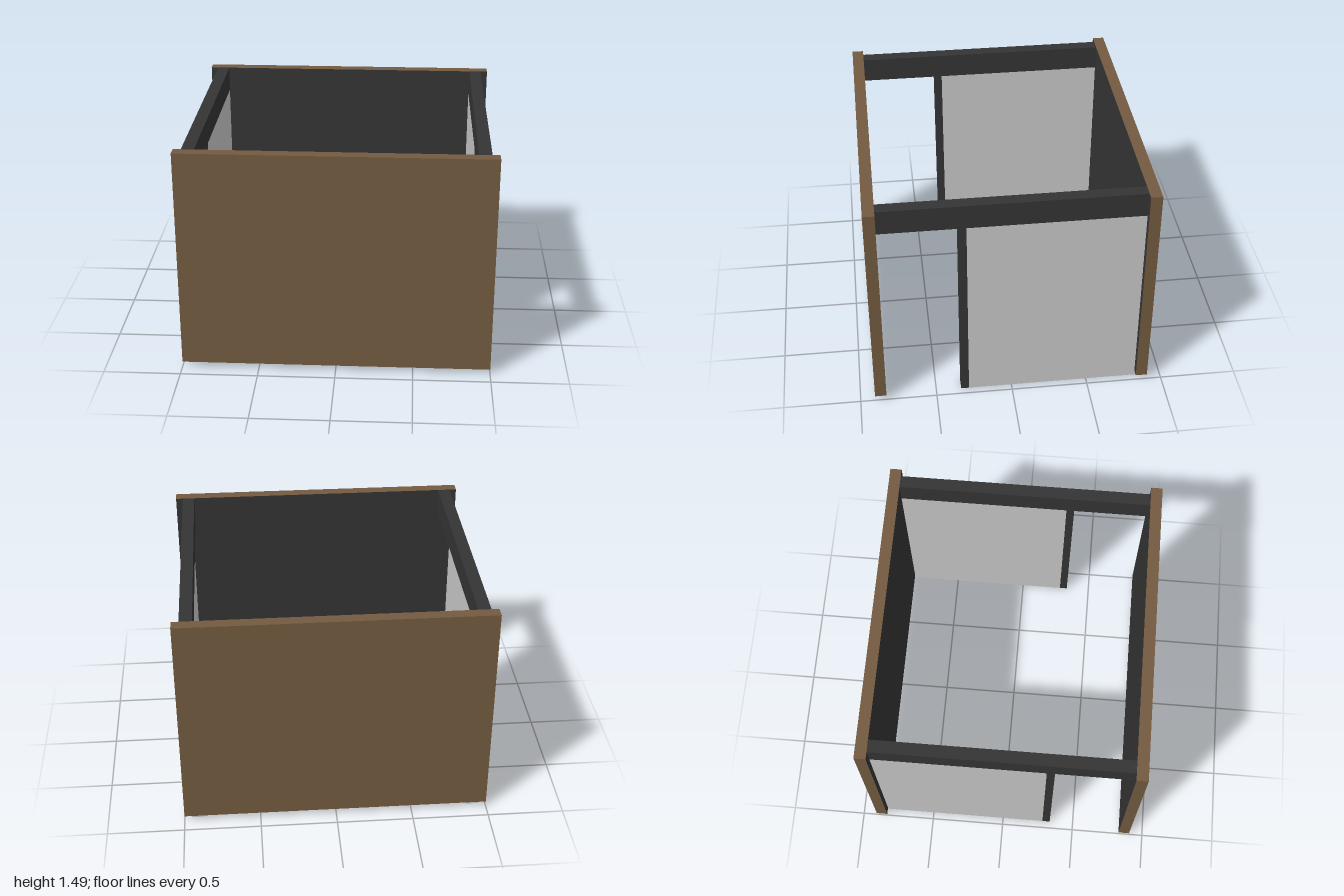
import * as THREE from 'three';

const mat = (name, color) => {
  const m = new THREE.MeshStandardMaterial({ color });
  m.name = name;
  return m;
};

export function createModel() {
  const wood = mat('wood brown', 0x735b40);
  const dark = mat('charcoal', 0x343434);
  const light = mat('light grey', 0xc8c8c8);
  const group = new THREE.Group();

  // Box given by its minimum and maximum on each axis
  function box(name, material, [x0, x1], [y0, y1], [z0, z1]) {
    const geometry = new THREE.BoxGeometry(x1 - x0, y1 - y0, z1 - z0);
    const mesh = new THREE.Mesh(geometry, material);
    mesh.position.set((x0 + x1) / 2, (y0 + y1) / 2, (z0 + z1) / 2);
    mesh.name = name;
    group.add(mesh);
  }

  // Front and back panels: wood, with a charcoal inner face
  const faces = [wood, wood, wood, wood];
  box('frontPanel', [...faces, wood, dark], [-1, 1], [0.035, 1.49], [0.83, 0.905]);
  box('backPanel', [...faces, dark, wood], [-1, 1], [0.035, 1.49], [-0.905, -0.83]);

  // Each side: top rail, wall and the post at the wall's front edge
  for (const [side, x] of [['left', [0.872, 0.953]], ['right', [-0.953, -0.872]]]) {
    box(side + 'Rail', dark, x, [1.322, 1.486], [-0.83, 0.83]);
    box(side + 'Wall', light, x, [0, 1.322], [-0.875, 0.283]);
    box(side + 'Post', dark, x, [0, 1.322], [0.283, 0.335]);
  }

  return group;
}
